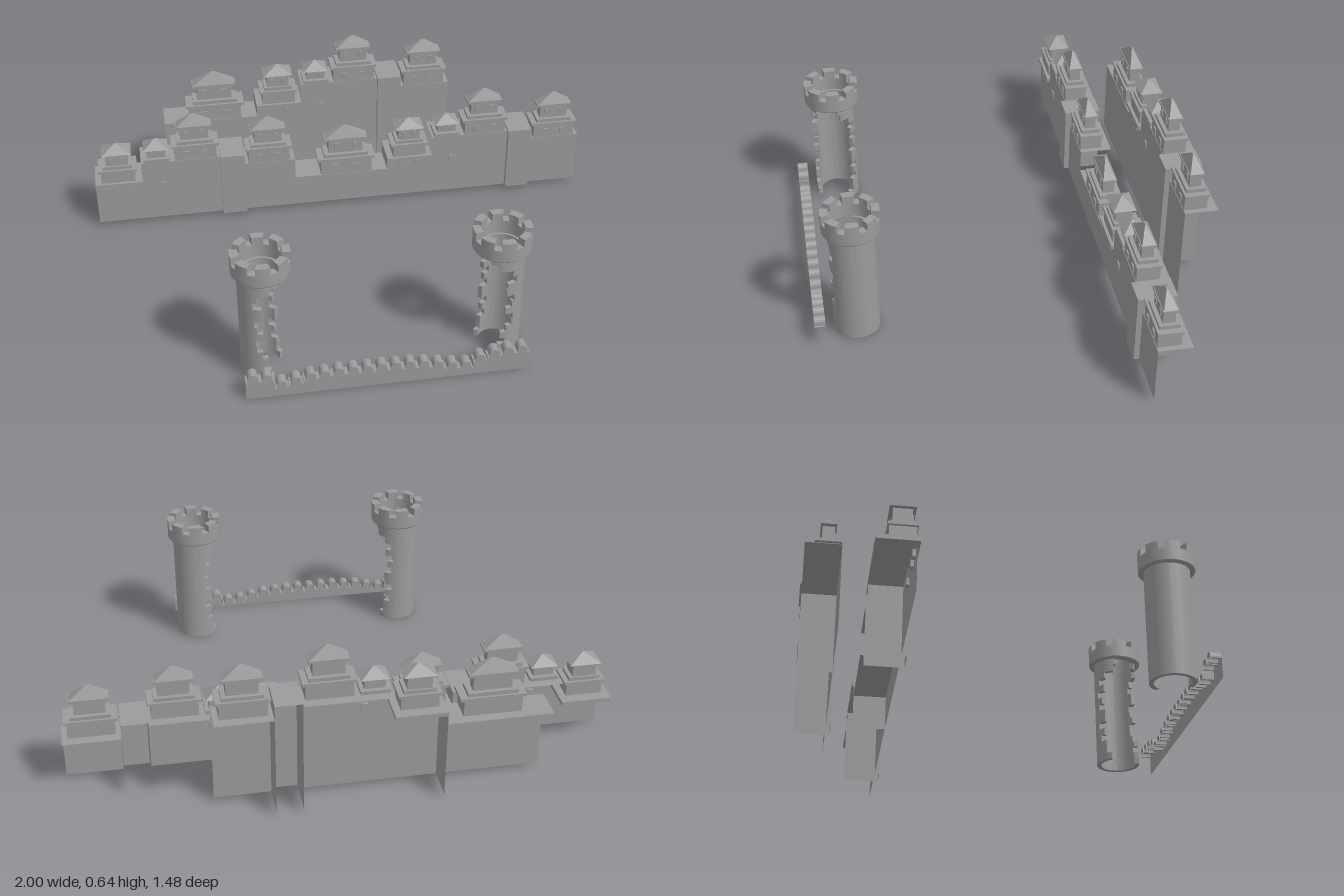
import * as THREE from 'three';
import { toCreasedNormals } from 'three/addons/utils/BufferGeometryUtils.js';

const stone = new THREE.MeshStandardMaterial({ color: 0x9b9b9b, flatShading: true, side: THREE.DoubleSide });
const smooth = new THREE.MeshStandardMaterial({ color: 0x9b9b9b, side: THREE.DoubleSide });

function add(parent, name, geometry, x = 0, y = 0, z = 0, material = stone) {
  const mesh = new THREE.Mesh(geometry, material);
  mesh.name = name;
  mesh.position.set(x, y, z);
  parent.add(mesh);
}

// box standing on y
const box = (parent, name, w, h, d, x, y, z) =>
  add(parent, name, new THREE.BoxGeometry(w, h, d), x, y + h / 2, z);

// four-sided roof standing on y; top is the size of the ridge relative to the eaves
function roof(parent, w, h, d, y, top = 0) {
  const g = new THREE.CylinderGeometry(Math.SQRT1_2 * top, Math.SQRT1_2, 1, 4, 1);
  g.rotateY(Math.PI / 4).scale(w, h, d);
  add(parent, 'roof', g, 0, y + h / 2, 0);
}

// window blocks set through a wall whose face is at z
function windows(parent, xs, y, z, w = 0.024, h = 0.026) {
  xs.forEach((x) => box(parent, 'window', w, h, 0.016, x, y, z - 0.003));
}

// house with a wide lower storey, an eave, a narrow upper storey and a hipped roof
function hippedHouse(parent, x, y, z, s = 1) {
  const g = new THREE.Group();
  g.name = 'hippedHouse';
  box(g, 'lowerStorey', 0.168, 0.058, 0.086, 0, 0, 0);
  windows(g, [-0.037, 0.037], 0.014, 0.043);
  box(g, 'eave', 0.19, 0.011, 0.092, 0, 0.056, 0);
  box(g, 'upperBase', 0.145, 0.014, 0.074, 0, 0.067, 0);
  box(g, 'upperStorey', 0.112, 0.056, 0.044, 0, 0.08, 0);
  windows(g, [-0.03, 0.03], 0.098, 0.022, 0.016, 0.024);
  box(g, 'upperEave', 0.142, 0.009, 0.056, 0, 0.134, 0);
  roof(g, 0.136, 0.045, 0.05, 0.143, 0.1);
  g.position.set(x, y, z);
  g.scale.set(s, 1 + (s - 1) * 0.35, 1);
  parent.add(g);
}

// small turret with a pyramid roof
function turret(parent, x, y, z) {
  const g = new THREE.Group();
  g.name = 'turret';
  box(g, 'eave', 0.105, 0.014, 0.09, 0, 0, 0);
  box(g, 'storey', 0.075, 0.042, 0.06, 0, 0.014, 0);
  windows(g, [-0.018, 0.018], 0.026, 0.03, 0.014, 0.02);
  roof(g, 0.1, 0.034, 0.085, 0.054);
  g.position.set(x, y, z);
  parent.add(g);
}

// square keep: ledge, two storeys, pyramid roof
function keep(parent, x, y, z) {
  const g = new THREE.Group();
  g.name = 'keep';
  box(g, 'ledge', 0.187, 0.016, 0.143, 0, -0.014, -0.015);
  box(g, 'lowerStorey', 0.135, 0.05, 0.09, 0, 0, 0);
  box(g, 'eave', 0.154, 0.011, 0.1, 0, 0.05, 0);
  box(g, 'upperBase', 0.115, 0.014, 0.08, 0, 0.061, 0);
  box(g, 'upperStorey', 0.088, 0.055, 0.065, 0, 0.074, 0);
  windows(g, [-0.022, 0.022], 0.09, 0.0325, 0.016, 0.024);
  roof(g, 0.118, 0.034, 0.088, 0.128);
  g.position.set(x, y, z);
  parent.add(g);
}

// open-backed wall section: front, flat top, optional side fins
function section(parent, x0, x1, y, zf, zb, fins = []) {
  const base = 0.015, h = y - base, w = x1 - x0, cx = (x0 + x1) / 2, cz = (zf + zb) / 2;
  add(parent, 'wallFront', new THREE.PlaneGeometry(w, h), cx, base + h / 2, zf);
  add(parent, 'wallTop', new THREE.PlaneGeometry(w, zf - zb).rotateX(-Math.PI / 2), cx, y, cz);
  for (const fx of fins)
    add(parent, 'wallSide', new THREE.PlaneGeometry(zf - zb, h).rotateY(Math.PI / 2), fx, base + h / 2, cz);
}

// parts of one stretch of town wall: m is its start in x, l its lift
const parts = {
  keep(g, m, l, z, joined) {
    const c = m + 0.093;
    section(g, m, m + 0.187, 0.2 + l, z + 0.045, z - 0.08, joined ? [m] : []);
    windows(g, [c - 0.035, c + 0.035], 0.155 + l, z + 0.045);
    keep(g, c, 0.2 + l, z);
  },
  turret(g, m, l, z) {
    section(g, m + 0.187, m + 0.31, 0.28 + l, z + 0.045, z - 0.08);
    windows(g, [m + 0.27], 0.162 + l, z + 0.045);
    turret(g, m + 0.25, 0.28 + l, z);
  },
  house(g, m, l, z) {
    section(g, m + 0.31, m + 0.505, 0.28 + l, z + 0.045, z - 0.08);
    hippedHouse(g, m + 0.408, 0.28 + l, z);
  },
  buttress(g, m, l, z) {
    section(g, m + 0.505, m + 0.602, 0.29 + l, z + 0.065, z - 0.078, [m + 0.505, m + 0.602]);
  },
  lowHouse(g, m, l, z) {
    section(g, m + 0.602, m + 0.808, 0.235 + l, z + 0.045, z - 0.08);
    hippedHouse(g, m + 0.703, 0.235 + l, z);
  },
  hall(g, m, l, z) {
    section(g, m + 0.808, m + 1.19, 0.147 + l, z + 0.045, z - 0.08);
    hippedHouse(g, m + 1.02, 0.147 + l, z, 1.25);
  },
};

function stretch(parent, name, m, lift, z, list, joined = false) {
  const g = new THREE.Group();
  g.name = name;
  list.forEach((k) => parts[k](g, m, lift, z, joined));
  parent.add(g);
}

// sector of a ring, standing on y = 0
function ringSector(r0, r1, a0, a1, h) {
  const s = new THREE.Shape();
  s.absarc(0, 0, r1, a0, a1, false);
  s.absarc(0, 0, r0, a1, a0, true);
  const g = new THREE.ExtrudeGeometry(s, { depth: h, bevelEnabled: false, curveSegments: 28 });
  return toCreasedNormals(g.rotateX(-Math.PI / 2), 0.6);
}

// hollow round tower, breached on its inner side; side = 1 opens toward +x
function ruinedTower(parent, name, x, side) {
  const g = new THREE.Group();
  g.name = name;
  // where each course of stones begins and ends, in degrees
  const starts = [30, 44, 44, 62, 50, 68, 46, 46, 66, 54, 70, 48, 64, 44, 18, 10];
  const ends = [290, 282, 264, 276, 262, 248, 246, 266, 250, 244, 266, 264, 242, 252, 284, 308];
  const h = 0.437 / starts.length;
  starts.forEach((start, i) => {
    let a0 = THREE.MathUtils.degToRad(start), a1 = THREE.MathUtils.degToRad(ends[i]);
    if (side < 0) [a0, a1] = [Math.PI - a1, Math.PI - a0];
    add(g, 'shaftCourse', ringSector(0.068, 0.085, a0, a1, h), 0, 0.005 + i * h, 0, smooth);
  });
  // crown with merlons
  const profile = [[0.076, 0.442], [0.102, 0.442], [0.105, 0.446], [0.105, 0.494], [0.076, 0.494], [0.076, 0.442]];
  add(g, 'crown', toCreasedNormals(new THREE.LatheGeometry(profile.map((p) => new THREE.Vector2(...p)), 40), 0.6), 0, 0, 0, smooth);
  for (let i = 0; i < 8; i++) {
    const a = (i * Math.PI) / 4;
    add(g, 'merlon', ringSector(0.076, 0.105, a - 0.25, a + 0.25, 0.031), 0, 0.493, 0, smooth);
  }
  g.position.set(x, 0, 0.584);
  parent.add(g);
}

// low broken wall with round-topped merlons
function brokenWall(parent) {
  const levels = [0.075, 0.07, 0.035, 0.045, 0.058, 0.06, 0.064, 0.064, 0.062, 0.064, 0.062, 0.06, 0.055, 0.045, 0.035, 0.03, 0.055, 0.07, 0.075, 0.075];
  const x0 = -0.516, step = 1.016 / levels.length, top = [];
  levels.forEach((y, i) => {
    const x = x0 + i * step, r = step * 0.36, c = x + step / 2;
    top.push(new THREE.Vector2(x, y), new THREE.Vector2(c - r, y));
    for (let k = 0; k <= 8; k++) {
      const a = Math.PI * (1 - k / 8);
      top.push(new THREE.Vector2(c + r * Math.cos(a), y + 0.01 + 0.02 * Math.sin(a)));
    }
    top.push(new THREE.Vector2(c + r, y), new THREE.Vector2(x + step, y));
  });
  const face = new THREE.Shape([new THREE.Vector2(x0, 0), new THREE.Vector2(x0 + 1.016, 0), ...top.slice().reverse()]);
  const g = new THREE.Group();
  g.name = 'brokenWall';
  add(g, 'face', new THREE.ShapeGeometry(face), 0, 0, 0.742);
  // ribbon giving the battlements their thickness
  const v = [], zf = 0.742, zb = 0.702;
  for (let i = 0; i + 1 < top.length; i++) {
    const a = top[i], b = top[i + 1];
    v.push(a.x, a.y, zf, b.x, b.y, zf, b.x, b.y, zb, a.x, a.y, zf, b.x, b.y, zb, a.x, a.y, zb);
  }
  const ribbon = new THREE.BufferGeometry();
  ribbon.setAttribute('position', new THREE.Float32BufferAttribute(v, 3));
  ribbon.computeVertexNormals();
  add(g, 'battlements', ribbon);
  parent.add(g);
}

export function createModel() {
  const root = new THREE.Group();
  root.name = 'ruinedFortress';
  const first = ['keep', 'turret', 'house', 'buttress', 'lowHouse'];
  // front town row, then the higher row behind it
  stretch(root, 'frontRowRight', -1, 0, -0.43, [...first, 'hall']);
  stretch(root, 'frontRowLeft', 0.19, 0, -0.43, first, true);
  stretch(root, 'backRowHall', -1.51, 0.17, -0.655, ['hall']);
  stretch(root, 'backRow', -0.32, 0.17, -0.655, first, true);
  ruinedTower(root, 'rightTower', -0.433, 1);
  ruinedTower(root, 'leftTower', 0.417, -1);
  brokenWall(root);
  return root;
}
